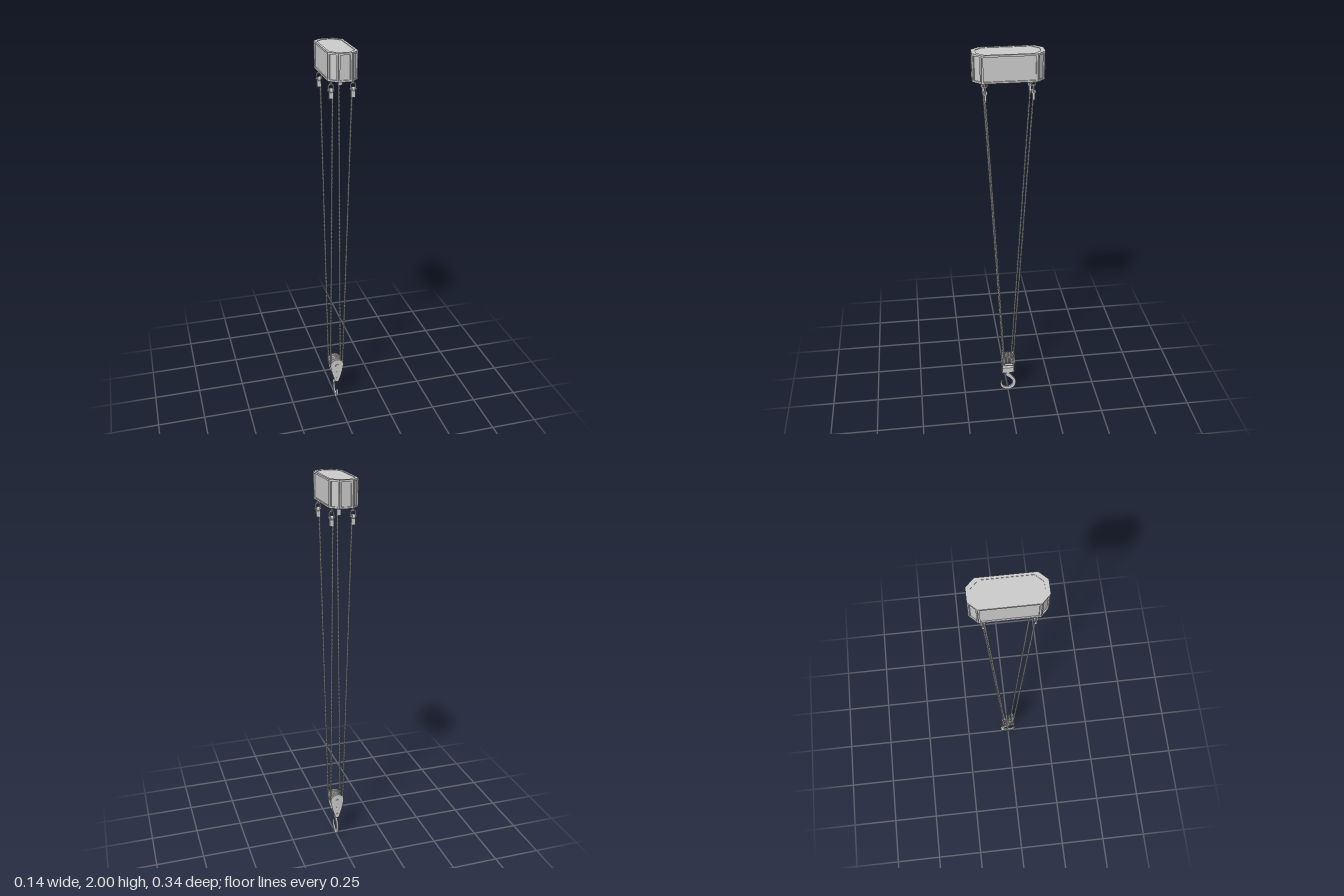
import * as THREE from 'three';

const grey = new THREE.MeshStandardMaterial({ color: 0xcccccc });
const V = (x, y, z) => new THREE.Vector3(x, y, z);

function add(parent, name, geometry, x = 0, y = 0, z = 0) {
  const mesh = new THREE.Mesh(geometry, grey);
  mesh.name = name;
  mesh.position.set(x, y, z);
  parent.add(mesh);
  return mesh;
}

// Corners of the long octagon, moved inwards by dx and dz
function octagon(dx, dz = dx) {
  const b = 0.169 - dz, c = 0.072 - dx, sum = 0.202 - 1.414 * dz, a = sum - b, e = sum - c;
  return [[a, b], [-a, b], [-c, e], [-c, -e], [-a, -b], [a, -b], [c, -e], [c, e]]
    .map(([x, y]) => new THREE.Vector2(x, y));
}

function slab(inset, height, hole) {
  const shape = new THREE.Shape(octagon(inset));
  if (hole) shape.holes.push(new THREE.Path(hole.reverse()));
  return new THREE.ExtrudeGeometry(shape, { depth: height, bevelEnabled: false }).rotateX(-Math.PI / 2);
}

function createHousing() {
  const g = new THREE.Group();
  g.name = 'housing';
  add(g, 'housingBody', slab(0.006, 0.125), 0, 1.873, 0);
  add(g, 'bottomFlange', slab(0, 0.008), 0, 1.869, 0);
  add(g, 'topRim', slab(0, 0.009, octagon(0.012, 0.02)), 0, 1.991, 0);
  // Upright frame strips at both ends of every side panel
  const pts = octagon(0.003);
  pts.forEach((p, i) => {
    const q = pts[(i + 1) % 8], w = 0.008;
    const dir = q.clone().sub(p).normalize();
    for (const [end, s] of [[p, 1], [q, -1]]) {
      const c = end.clone().addScaledVector(dir, s * w / 2);
      const strip = add(g, 'frameStrip', new THREE.BoxGeometry(w, 0.122, 0.006), c.x, 1.934, c.y);
      strip.rotation.y = -Math.atan2(dir.y, dir.x);
    }
  });
  return g;
}

// Eye under the housing, shackle, pin and rope clamp
function createShackle() {
  const g = new THREE.Group();
  g.name = 'shackle';
  add(g, 'eyeBase', new THREE.CylinderGeometry(0.009, 0.009, 0.006, 12), 0, 1.867, 0);
  add(g, 'eyeRing', new THREE.TorusGeometry(0.0095, 0.0035, 8, 18).rotateY(Math.PI / 2), 0, 1.855, 0);
  const bow = new THREE.CatmullRomCurve3([
    V(-0.011, 1.819, 0), V(-0.012, 1.835, 0), V(-0.008, 1.847, 0), V(0, 1.851, 0),
    V(0.008, 1.847, 0), V(0.012, 1.835, 0), V(0.011, 1.819, 0)]);
  add(g, 'shackleBow', new THREE.TubeGeometry(bow, 24, 0.0035, 8));
  add(g, 'shacklePin', new THREE.CylinderGeometry(0.004, 0.004, 0.034, 10).rotateZ(Math.PI / 2), 0, 1.82, 0);
  add(g, 'socketEye', new THREE.CylinderGeometry(0.011, 0.011, 0.014, 16).rotateZ(Math.PI / 2), 0, 1.82, 0);
  add(g, 'ropeClamp', new THREE.BoxGeometry(0.02, 0.036, 0.011), 0, 1.799, 0);
  return g;
}

// Flat hook: tapered outline around a centre line, given as [z, y, half width]
function hookGeometry() {
  const rows = [[0, 0.14, 0.016], [0, 0.112, 0.013], [-0.021, 0.09, 0.01], [-0.036, 0.06, 0.01],
    [-0.029, 0.027, 0.011], [0, 0.0115, 0.0105], [0.028, 0.023, 0.008], [0.039, 0.046, 0.006], [0.034, 0.066, 0.002]];
  const curve = new THREE.CatmullRomCurve3(rows.map(r => V(...r)));
  const left = [], right = [];
  for (let i = 0; i <= 40; i++) {
    const p = curve.getPoint(i / 40), t = curve.getTangent(i / 40);
    const n = new THREE.Vector2(-t.y, t.x).normalize().multiplyScalar(p.z - 0.001);
    left.push(new THREE.Vector2(p.x + n.x, p.y + n.y));
    right.unshift(new THREE.Vector2(p.x - n.x, p.y - n.y));
  }
  return new THREE.ExtrudeGeometry(new THREE.Shape([...left, ...right]),
    { depth: 0.006, bevelThickness: 0.002, bevelSize: 0.001, bevelSegments: 2 })
    .translate(0, 0, -0.003).rotateY(-Math.PI / 2);
}

function createHookBlock() {
  const g = new THREE.Group();
  g.name = 'hookBlock';
  const axleY = 0.231;
  // Teardrop cheek plates
  const drop = new THREE.Shape();
  drop.absarc(0, axleY, 0.037, -0.3, Math.PI + 0.3, false);
  drop.quadraticCurveTo(-0.03, 0.18, -0.012, 0.13);
  drop.quadraticCurveTo(0, 0.11, 0.012, 0.13);
  drop.quadraticCurveTo(0.03, 0.18, 0.0353, axleY - 0.011);
  const cheek = new THREE.ExtrudeGeometry(drop, { depth: 0.004, bevelEnabled: false, curveSegments: 24 });
  for (const s of [-1, 1]) {
    add(g, 'cheekPlate', cheek, 0, 0, s * 0.033 - 0.002);
    add(g, 'axleNut', new THREE.CylinderGeometry(0.009, 0.009, 0.006, 6).rotateX(Math.PI / 2), 0, axleY, s * 0.037);
    for (const y of [0.187, 0.145])
      add(g, 'bolt', new THREE.CylinderGeometry(0.004, 0.004, 0.004, 8).rotateX(Math.PI / 2), 0, y, s * 0.036);
  }
  add(g, 'axle', new THREE.CylinderGeometry(0.006, 0.006, 0.078, 14).rotateX(Math.PI / 2), 0, axleY, 0);
  // Grooved sheaves
  const groove = [[0.005, -0.006], [0.036, -0.006], [0.036, -0.004], [0.031, -0.001],
    [0.031, 0.001], [0.036, 0.004], [0.036, 0.006], [0.005, 0.006]];
  const sheave = new THREE.LatheGeometry(groove.map(p => new THREE.Vector2(...p)), 28).rotateX(Math.PI / 2);
  for (const z of [-0.024, -0.008, 0.008, 0.024]) add(g, 'sheave', sheave, 0, axleY, z);
  // Spacer and hook carrier between the cheeks
  add(g, 'spacer', new THREE.CylinderGeometry(0.007, 0.007, 0.066, 12).rotateX(Math.PI / 2), 0, 0.181, 0);
  add(g, 'hookCarrier', new THREE.BoxGeometry(0.02, 0.034, 0.062), 0, 0.147, 0);
  add(g, 'hookCollar', new THREE.CylinderGeometry(0.012, 0.01, 0.012, 16), 0, 0.126, 0);
  add(g, 'hook', hookGeometry());
  return g;
}

// One strand winding around a straight rope from a to b
class Strand extends THREE.Curve {
  constructor(a, b, phase) {
    super();
    Object.assign(this, { a, b, phase, arcLengthDivisions: 1000 });
  }
  getPoint(t, target = V(0, 0, 0)) {
    const angle = this.phase + t * Math.PI * 2 * 36;
    return target.lerpVectors(this.a, this.b, t)
      .add(V(0.002 * Math.cos(angle), 0, 0.002 * Math.sin(angle)));
  }
}

// A rope from the housing down, under a sheave and up again
function createRope(z) {
  const s = Math.sign(z), R = 0.0345, y = 0.231;
  const g = new THREE.Group();
  g.name = 'rope';
  for (const top of [-0.045, 0.048]) {
    const a = V(top, 1.79, s * 0.112), b = V(Math.sign(top) * R, y, z);
    for (const phase of [0, Math.PI])
      add(g, 'ropeStrand', new THREE.TubeGeometry(new Strand(a, b, phase), 288, 0.003, 6));
  }
  const bend = [];
  for (let i = 0; i <= 12; i++) {
    const a = Math.PI + Math.PI * i / 12;
    bend.push(V(R * Math.cos(a), y + R * Math.sin(a), z));
  }
  add(g, 'ropeBend', new THREE.TubeGeometry(new THREE.CatmullRomCurve3(bend), 24, 0.004, 8));
  return g;
}

export function createModel() {
  const model = new THREE.Group();
  model.name = 'hoist';
  model.add(createHousing(), createHookBlock());
  for (const s of [-1, 1]) {
    model.add(createRope(s * 0.024));
    for (const x of [-0.052, 0.054]) {
      const shackle = createShackle();
      shackle.position.set(x, 0, s * 0.112);
      model.add(shackle);
    }
  }
  return model;
}
